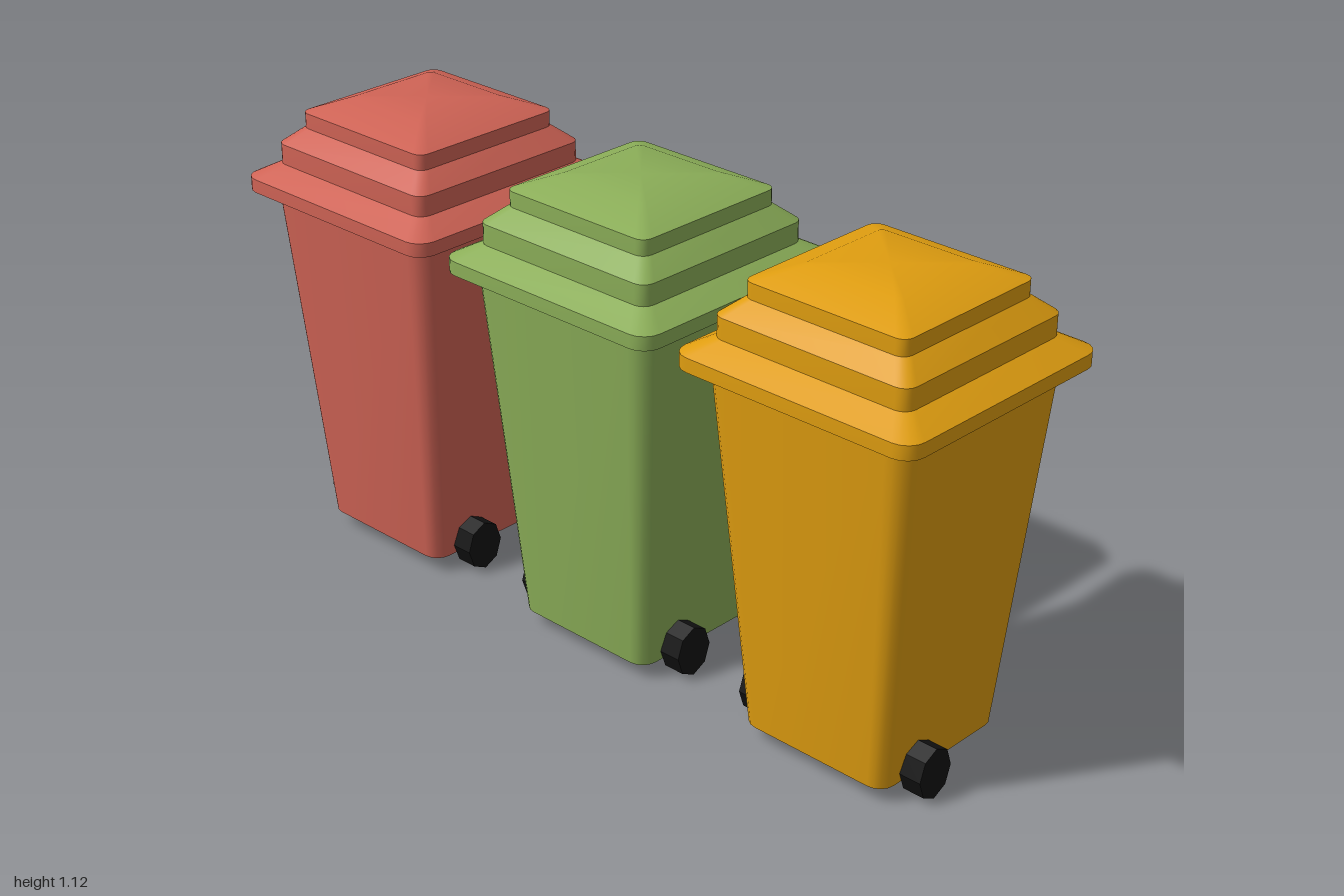
import * as THREE from 'three';
import { toCreasedNormals } from 'three/addons/utils/BufferGeometryUtils.js';

const CORNER_STEPS = 4;

// Rounded square outline: h = half width, r = corner radius, at height y
function outline([h, r, y]) {
  const pts = [];
  for (let c = 0; c < 4; c++) {
    const mid = (c + 0.5) * Math.PI / 2;
    const cx = Math.sign(Math.cos(mid)) * (h - r);
    const cz = Math.sign(Math.sin(mid)) * (h - r);
    for (let s = 0; s <= CORNER_STEPS; s++) {
      const a = (c + s / CORNER_STEPS) * Math.PI / 2;
      pts.push([cx + r * Math.cos(a), y, cz + r * Math.sin(a)]);
    }
  }
  return pts;
}

// Skin through stacked rounded squares, listed from bottom to top
function loft(sections, capBottom, capTop) {
  const rings = sections.map(outline);
  const n = rings[0].length;
  const pos = [];
  const tri = (a, b, c) => pos.push(...a, ...b, ...c);
  for (let k = 0; k < rings.length - 1; k++) {
    for (let i = 0; i < n; i++) {
      const j = (i + 1) % n;
      const lo = rings[k], hi = rings[k + 1];
      tri(lo[i], hi[i], lo[j]);
      tri(lo[j], hi[i], hi[j]);
    }
  }
  const bottom = rings[0], top = rings[rings.length - 1];
  for (let i = 0; i < n; i++) {
    const j = (i + 1) % n;
    if (capBottom) tri([0, bottom[0][1], 0], bottom[i], bottom[j]);
    if (capTop) tri([0, top[0][1], 0], top[j], top[i]);
  }
  const geo = new THREE.BufferGeometry();
  geo.setAttribute('position', new THREE.Float32BufferAttribute(pos, 3));
  return toCreasedNormals(geo, 0.5);
}

export function createModel() {
  const material = (name, color) => {
    const m = new THREE.MeshStandardMaterial({ color });
    m.name = name;
    return m;
  };
  const red = material('red', 0xcf6355);
  const green = material('green', 0x8bae58);
  const yellow = material('yellow', 0xdf9d10);
  const black = material('black', 0x121212);

  const bodyBottom = [0.197, 0.04, 0.04];
  const bodyGeo = loft([bodyBottom, [0.266, 0.05, 0.905]], false, false);

  // Floor of the bin, facing down
  const floorGeo = loft([bodyBottom, [0.19, 0.04, 0.045]], true, false);

  // Stepped lid
  const lidGeo = loft([
    [0.31, 0.045, 0.9], [0.31, 0.045, 0.933],
    [0.252, 0.03, 0.966], [0.252, 0.03, 1.015],
    [0.208, 0.025, 1.053], [0.208, 0.025, 1.09],
    [0.122, 0.012, 1.125],
  ], true, true);

  // Eight-sided wheel, taller than it is deep; axis along x, +y end outward
  const wheelGeo = toCreasedNormals(
    new THREE.CylinderGeometry(1, 1, 0.054, 8).rotateZ(-Math.PI / 2).scale(1, 0.062, 0.052), 0.3);
  const axleGeo = new THREE.CylinderGeometry(0.03, 0.03, 0.4, 12).rotateZ(Math.PI / 2);

  const model = new THREE.Group();
  const add = (parent, name, geo, mat) => {
    const mesh = new THREE.Mesh(geo, mat);
    mesh.name = name;
    parent.add(mesh);
    return mesh;
  };

  [red, green, yellow].forEach((paint, i) => {
    const bin = new THREE.Group();
    bin.name = paint.name + 'Bin';
    bin.position.x = (i - 1) * 0.69;
    add(bin, 'body', bodyGeo, paint);
    add(bin, 'lid', lidGeo, paint);
    add(bin, 'floor', floorGeo, red);
    add(bin, 'axle', axleGeo, red).position.set(0, 0.062, 0.09);
    for (const side of [1, -1]) {
      // Black tyre and outer face, red inner face
      const wheel = add(bin, side > 0 ? 'leftWheel' : 'rightWheel', wheelGeo, [black, black, red]);
      wheel.position.set(side * 0.226, 0.0635, 0.09);
      if (side < 0) wheel.rotation.y = Math.PI;
    }
    model.add(bin);
  });
  return model;
}
